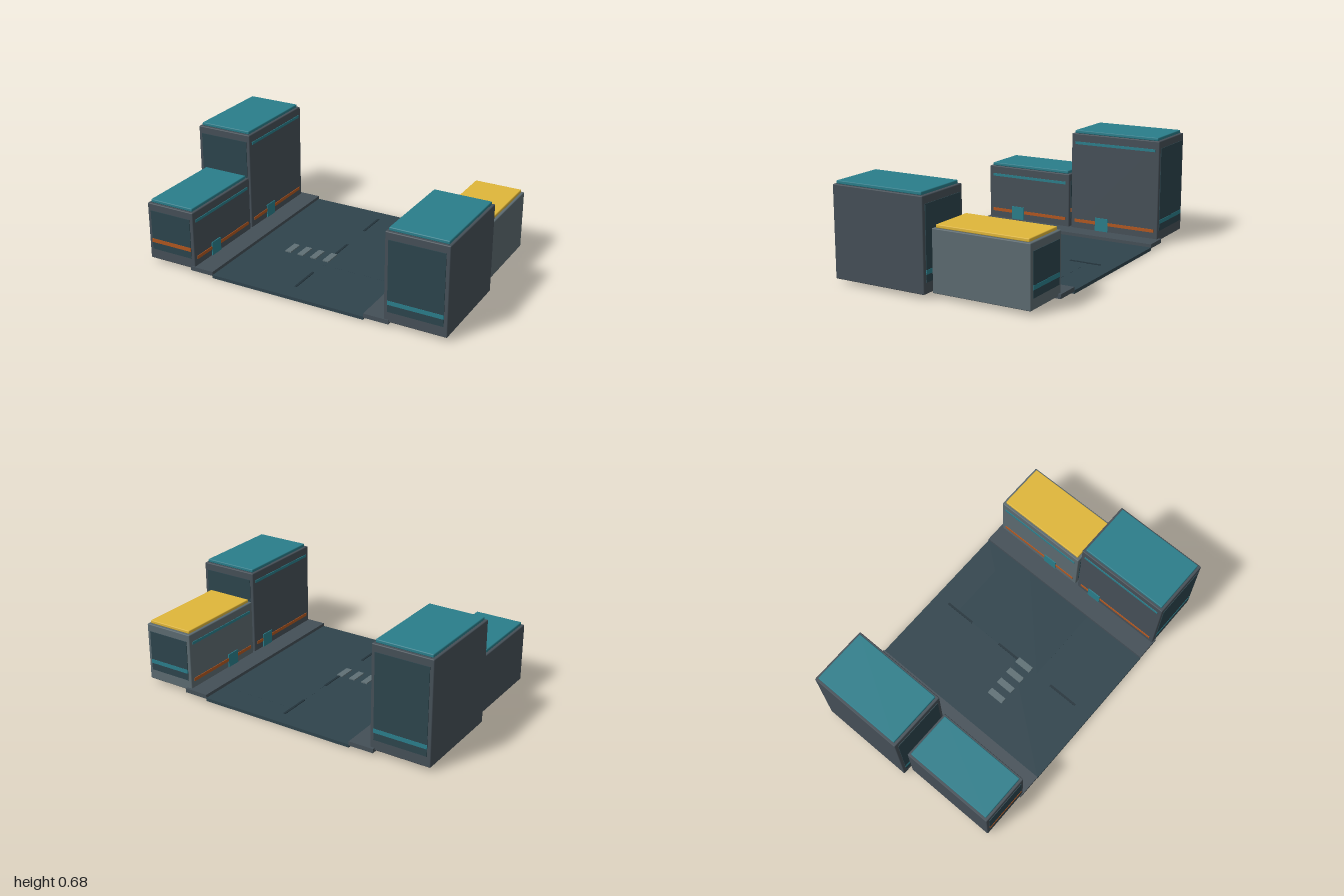
import * as THREE from 'three';
import { RoundedBoxGeometry } from 'three/addons/geometries/RoundedBoxGeometry.js';

const mat = (color) => new THREE.MeshStandardMaterial({ color });
const M = {
  road: mat(0x2f434c), dash: mat(0x23333b), stripe: mat(0x5f7075), walk: mat(0x444f57),
  wall: mat(0x454f57), paleWall: mat(0x5c6a70), panel: mat(0x2c444c),
  teal: mat(0x2a7d8a), yellow: mat(0xdfb63a), orange: mat(0xb0561f),
};

// Box given by its limits on each axis; a radius rounds its edges
function box(parent, name, material, [x0, x1], [y0, y1], [z0, z1], radius = 0) {
  const size = [Math.abs(x1 - x0), y1 - y0, z1 - z0];
  const geo = radius ? new RoundedBoxGeometry(...size, 1, radius) : new THREE.BoxGeometry(...size);
  const mesh = new THREE.Mesh(geo, material);
  mesh.name = name;
  mesh.position.set((x0 + x1) / 2, (y0 + y1) / 2, (z0 + z1) / 2);
  parent.add(mesh);
  return mesh;
}

// Building on one side of the street; inner and outer are distances from the centre line
function building({ name, side, inner, outer, z, top, wall, roof, band, doorZ }) {
  const g = new THREE.Group();
  g.name = name;
  const [z0, z1] = z;
  const span = (a, b) => [side * a, side * b];

  box(g, 'walls', wall, span(inner, outer), [0.025, top], z, 0.005);
  box(g, 'roof', roof, span(inner + 0.014, outer - 0.014), [top, top + 0.02], [z0 + 0.016, z1 - 0.016], 0.005);

  // Window panels with a coloured band on the front and back
  for (const [end, dir] of [[z0, -1], [z1, 1]]) {
    const slab = (depth) => [Math.min(end - dir * 0.01, end + dir * depth), Math.max(end - dir * 0.01, end + dir * depth)];
    box(g, 'windowPanel', M.panel, span(inner + 0.022, outer - 0.022), [0.09, top - 0.045], slab(0.004));
    box(g, 'windowBand', band, span(inner + 0.022, outer - 0.022), [0.135, 0.16], slab(0.006));
  }

  // Street side: upper and lower bands and a door
  const face = span(inner - 0.004, inner + 0.01);
  box(g, 'upperBand', M.teal, face, [top - 0.067, top - 0.05], [z0 + 0.026, z1 - 0.026]);
  box(g, 'lowerBand', M.orange, face, [0.08, 0.1], [z0 + 0.026, z1 - 0.026]);
  box(g, 'door', M.teal, span(inner - 0.006, inner + 0.01), [0.025, 0.125], [doorZ - 0.045, doorZ + 0.045]);
  return g;
}

export function createModel() {
  const model = new THREE.Group();
  model.name = 'streetBlock';

  // Ground
  box(model, 'road', M.road, [-0.5, 0.5], [0, 0.02], [-0.625, 0.625]);
  box(model, 'sideRoad', M.road, [0, 0.68], [0.004, 0.0205], [-0.45, 0.2]);
  for (const s of [-1, 1]) {
    box(model, 'sidewalk', M.walk, [s * 0.5, s * 0.655], [0.014, 0.04], [-0.625, 0.625]);
  }

  // Centre line dashes
  for (const z of [-0.43, -0.01, 0.41]) {
    box(model, 'centreDash', M.dash, [-0.007, 0.007], [0.018, 0.0235], [z - 0.1, z + 0.1]);
  }

  // Crossing stripes
  for (let i = 0; i < 4; i++) {
    const x = -0.267 + i * 0.0875;
    box(model, 'crossingStripe', M.stripe, [x - 0.02, x + 0.02], [0.018, 0.027], [0.047, 0.157]);
  }

  // Four buildings, two on each side
  const back = [-0.608, 0], front = [0.018, 0.619];
  [
    { name: 'tallBuilding', side: -1, inner: 0.627, outer: 1, z: back, top: 0.659,
      wall: M.wall, roof: M.teal, band: M.teal, doorZ: -0.22 },
    { name: 'smallBuilding', side: -1, inner: 0.627, outer: 0.95, z: front, top: 0.386,
      wall: M.wall, roof: M.teal, band: M.orange, doorZ: 0.4 },
    { name: 'wideBuilding', side: 1, inner: 0.622, outer: 1, z: front, top: 0.568,
      wall: M.wall, roof: M.teal, band: M.teal, doorZ: 0.15 },
    { name: 'yellowRoofBuilding', side: 1, inner: 0.622, outer: 0.945, z: back, top: 0.387,
      wall: M.paleWall, roof: M.yellow, band: M.teal, doorZ: -0.21 },
  ].forEach((spec) => model.add(building(spec)));

  return model;
}
